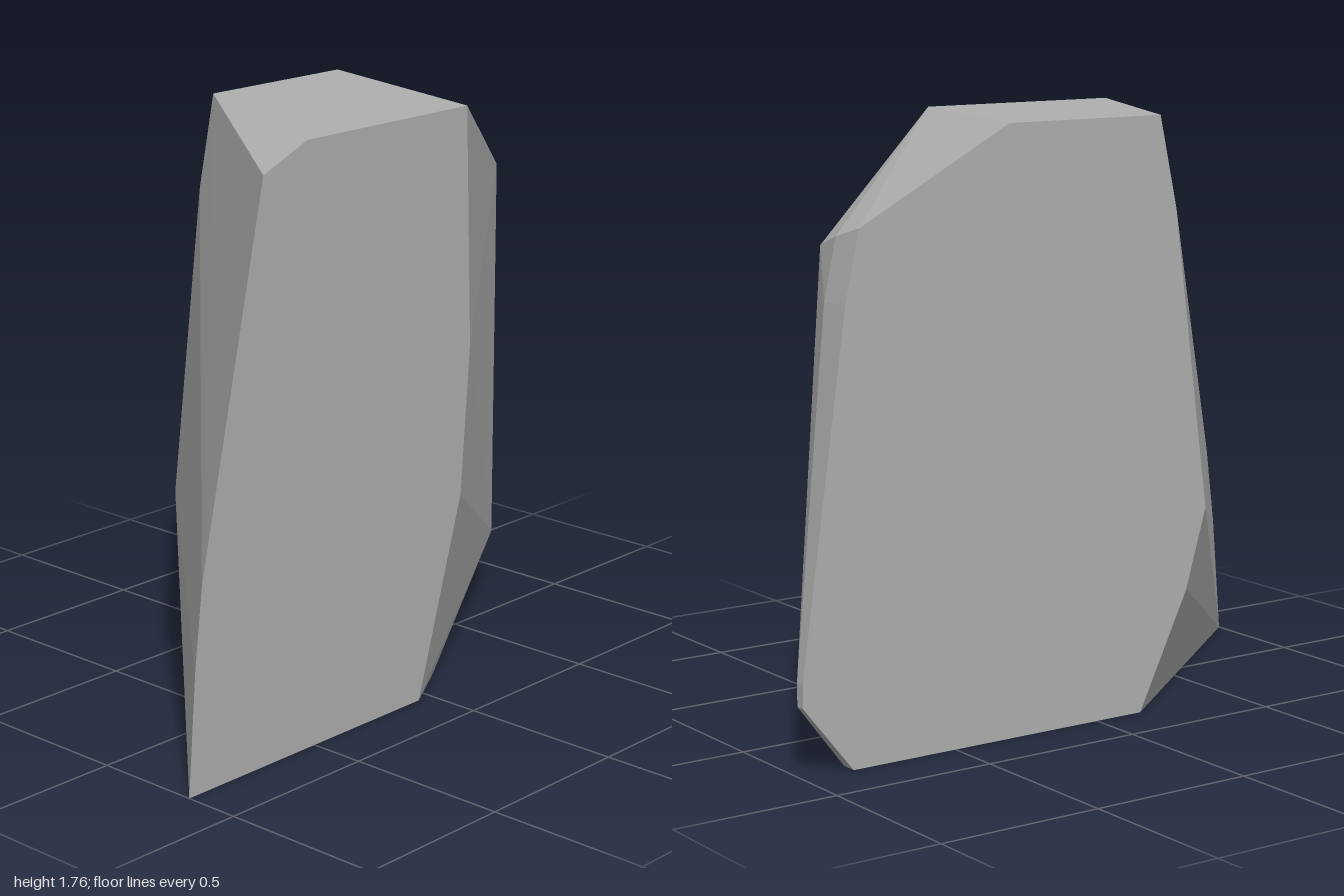
import * as THREE from 'three';
import { ConvexGeometry } from 'three/addons/geometries/ConvexGeometry.js';

const HALF = 0.33; // half the thickness of the slab

// Outlines of the two parallel cut sides, as [y, z]
const leftSide = [
  [0, 1], [0.36, 0.97], [0.6, 0.94], [1.69, 0.69], [1.76, 0.52],
  [1.76, -0.14], [1.05, -0.165], [0.6, -0.13], [0, 0.05],
];
const rightSide = [
  [0, 0.16], [0.35, 0.33], [0.59, 0.4], [1.49, 0.28], [1.76, 0.22],
  [1.76, -0.31], [1.5, -0.805], [1.3, -0.85], [0.27, -1], [0.2, -1], [0, -0.84],
];
// Corners of the broken back face, as [x, y, z]
const backCorners = [
  [0.22, 0, -0.14], [-0.07, 0, -0.58], [-0.28, 0, -0.84],
  [-0.09, 0.22, -0.78], [-0.09, 1.43, -0.78],
  [-0.22, 1.47, -0.81], [-0.22, 1.29, -0.85],
  [-0.3, 0.27, -1], [-0.3, 0.2, -1],
];

export function createModel() {
  const group = new THREE.Group();
  group.name = 'rock';

  const stone = new THREE.MeshStandardMaterial({ color: 0xb0b0b0 });
  stone.name = 'grey stone';
  stone.flatShading = true;

  // Faceted stone slab: the hull of both sides and the back corners
  const points = [
    ...leftSide.map(([y, z]) => new THREE.Vector3(HALF, y, z)),
    ...rightSide.map(([y, z]) => new THREE.Vector3(-HALF, y, z)),
    ...backCorners.map((p) => new THREE.Vector3(...p)),
  ];
  const slab = new THREE.Mesh(new ConvexGeometry(points), stone);
  slab.name = 'stoneSlab';
  group.add(slab);
  return group;
}
